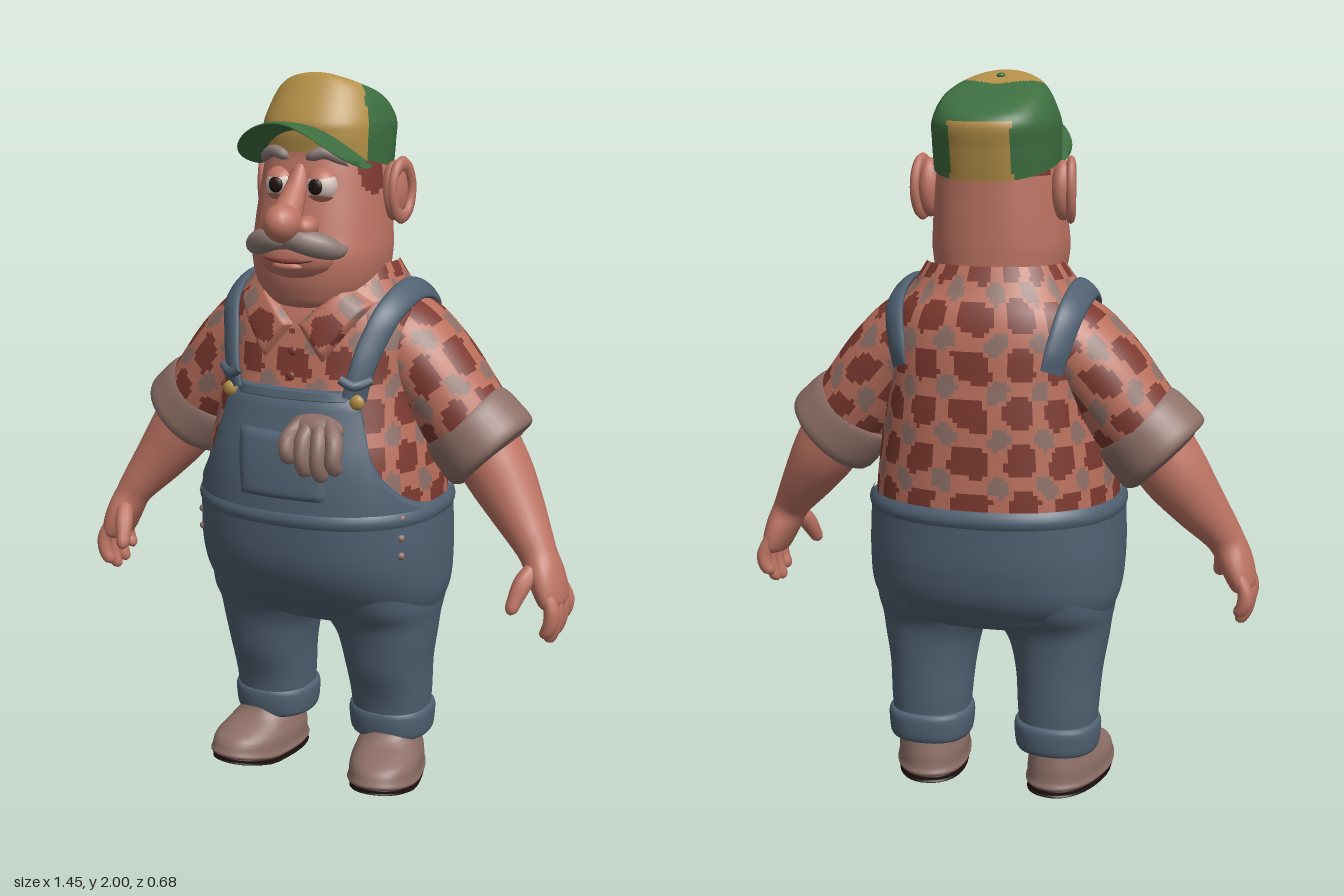
import * as THREE from 'three';

const { lerp } = THREE.MathUtils;
const P = 0.87; // roundness of the body cross-sections
const V = (x, y, z) => new THREE.Vector3(x, y, z);

// Smooth interpolation of table rows
function sample(rows, k, key = i => i) {
  const n = rows.length;
  let i = 0;
  while (i < n - 2 && k > key(i + 1)) i++;
  const h = key(i + 1) - key(i), t = Math.min(1, Math.max(0, (k - key(i)) / h));
  const slope = (j, c) => {
    const a = Math.max(0, j - 1), b = Math.min(n - 1, j + 1);
    return (rows[b][c] - rows[a][c]) / (key(b) - key(a));
  };
  const t2 = t * t, t3 = t2 * t;
  return rows[i].map((p, c) => (2 * t3 - 3 * t2 + 1) * p + (t3 - 2 * t2 + t) * h * slope(i, c)
    + (3 * t2 - 2 * t3) * rows[i + 1][c] + (t3 - t2) * h * slope(i + 1, c));
}

// Surface from a point rule; pick chooses a material slot for each quad
function grid(nu, nv, fn, pick = null, wrap = true) {
  const cols = wrap ? nu : nu + 1, pts = [], lists = [];
  for (let j = 0; j <= nv; j++) for (let i = 0; i < cols; i++) pts.push(fn(i / nu, j / nv));
  for (let j = 0; j < nv; j++) for (let i = 0; i < nu; i++) {
    const i2 = (i + 1) % cols;
    const a = j * cols + i, b = j * cols + i2, c = b + cols, d = a + cols;
    const mid = pts[a].clone().add(pts[c]).multiplyScalar(0.5);
    const slot = pick ? pick((i + 0.5) / nu, (j + 0.5) / nv, mid) : 0;
    (lists[slot] ??= []).push(a, b, c, a, c, d);
  }
  const geo = new THREE.BufferGeometry().setFromPoints(pts);
  geo.setIndex(lists.flat());
  let start = 0;
  if (pick) lists.forEach((l, slot) => { geo.addGroup(start, l.length, slot); start += l.length; });
  geo.computeVertexNormals();
  return geo;
}

// Point on a rounded horizontal section, u = 0 at the front
function ring(u, y, cx, hw, zf, zb) {
  const a = u * Math.PI * 2, s = Math.sin(a), c = Math.cos(a);
  return V(cx + hw * Math.sign(s) * Math.abs(s) ** P, y,
    (zf + zb) / 2 + (zf - zb) / 2 * Math.sign(c) * Math.abs(c) ** P);
}

// Upright loft, rows of [y, centre x, half width, front z, back z]
const stack = (rows, nu, nv, pick = null) =>
  grid(nu, nv, (u, v) => ring(u, ...sample(rows, v * (rows.length - 1))), pick);

// Loft along a path, rows of [x, y, z, radius along ref, radius across]
function limb(rows, nu = 12, nv = 14, pick = null, ref = () => V(0, 0, 1)) {
  const n = rows.length - 1, at = k => sample(rows, Math.min(n, Math.max(0, k)));
  return grid(nu, nv, (u, v) => {
    const k = v * n, r = at(k), c = V(r[0], r[1], r[2]);
    const T = V(...at(k + 0.02)).sub(V(...at(k - 0.02))).normalize();
    const A = ref(c).projectOnPlane(T).normalize(), B = T.clone().cross(A), a = u * Math.PI * 2;
    return c.addScaledVector(A, Math.cos(a) * r[3]).addScaledVector(B, Math.sin(a) * r[4]);
  }, pick);
}

const ball = (x, y, z, rx, ry = rx, rz = rx) =>
  new THREE.SphereGeometry(1, 18, 12).scale(rx, ry, rz).translate(x, y, z);

// Trunk shared by shirt, overalls and everything lying on them
const BODY = [[.48, 0, .29, .08, -.19], [.58, 0, .335, .19, -.28], [.68, 0, .345, .25, -.312], [.8, 0, .342, .27, -.32],
  [.9, 0, .335, .27, -.32], [1, 0, .322, .258, -.315], [1.1, 0, .305, .23, -.31], [1.2, 0, .297, .2, -.3],
  [1.3, 0, .3, .18, -.29], [1.38, 0, .278, .16, -.27], [1.44, 0, .225, .135, -.235], [1.5, 0, .185, .09, -.205]];
const bodyAt = y => sample(BODY, y, i => BODY[i][0]);
const bodyPoint = (u, y, off) => {
  const [, cx, hw, zf, zb] = bodyAt(y);
  return ring(u, y, cx, hw + off, zf + off, zb - off);
};
const zAt = (x, y) => {
  const [, , hw, zf, zb] = bodyAt(y), s = Math.min(1, Math.abs(x) / hw) ** (1 / P);
  return (zf + zb) / 2 + (zf - zb) / 2 * (1 - s * s) ** (P / 2);
};

// Padded four-cornered piece lying on the chest
const patch = (q, off, pick = null) => grid(20, 20, (u, v) => {
  const x = lerp(lerp(q[0][0], q[1][0], u), lerp(q[3][0], q[2][0], u), v);
  const y = lerp(lerp(q[0][1], q[1][1], u), lerp(q[3][1], q[2][1], u), v);
  const edge = Math.min(1, 9 * Math.min(u, 1 - u, v, 1 - v));
  return V(x, y, zAt(x, y) + lerp(-.004, off, edge));
}, pick, false);

// Checked cloth: 0 plain, 1 dark check, 2 grey check
function plaid(a, b) {
  const x = a + .06 * Math.sin(5 * b), y = b + .06 * Math.sin(4 * a);
  const size = (p, q) => Math.hypot(p - Math.round(p), q - Math.round(q));
  const box = Math.max(Math.abs(x - Math.round(x)), Math.abs(y - Math.round(y)));
  if (size(x, y) < .37 && box < .31) return 1;
  return size(x + .5, y + .5) < .23 ? 2 : 0;
}

export function createModel() {
  const model = new THREE.Group();
  model.name = 'farmer';
  const mat = (name, color, side = THREE.FrontSide) => {
    const m = new THREE.MeshStandardMaterial({ color, side });
    m.name = name;
    return m;
  };
  const skin = mat('skin', 0xbd7463), denim = mat('denim', 0x506172), check = mat('dark red', 0x7c392f);
  const cloth = mat('shirt pink', 0xb96f5c), taupe = mat('taupe', 0x8d6f67), grey = mat('whisker grey', 0x8c7a74);
  const green = mat('cap green', 0x3d6f40, THREE.DoubleSide), yellow = mat('cap yellow', 0xb48f47);
  const dark = mat('near black', 0x21120f), white = mat('eye white', 0xd2c0b6);
  const shirt = [cloth, check, taupe, skin];

  const add = (name, geo, m) => {
    const mesh = new THREE.Mesh(geo, m);
    mesh.name = name;
    model.add(mesh);
  };
  const pair = (name, geo, m) => {
    add(name + 'Left', geo, m);
    const g = geo.clone().scale(-1, 1, 1), ix = g.index.array;
    for (let i = 0; i < ix.length; i += 3) [ix[i], ix[i + 1]] = [ix[i + 1], ix[i]];
    add(name + 'Right', g, m);
  };

  // Shirt body with open neck, collar and sleeves
  add('shirt', grid(160, 56, (u, v) => bodyPoint(u, lerp(.8, 1.5, v), 0), (u, v, p) =>
    p.z > 0 && Math.abs(p.x) < (p.y - 1.33) * .8 ? 3 : plaid(u * 16, p.y / .125)), shirt);
  pair('collar', patch([[.004, 1.35], [.085, 1.25], [.2, 1.41], [.12, 1.46]], .022,
    (u, v, p) => plaid(p.x / .13 + .3, p.y / .125 + .3)), shirt);
  for (const y of [1.215, 1.28]) add('shirtButton', ball(0, y, zAt(0, y) + .003, .012, .012, .007), check);
  pair('sleeve', limb([[.1, 1.36, -.07, .12, .08], [.2, 1.3, -.07, .155, .125], [.29, 1.22, -.07, .152, .128],
    [.37, 1.12, -.07, .143, .125], [.43, 1.045, -.07, .132, .12]], 72, 44, (u, v) => plaid(u * 7 + .3, v * 3.6)), shirt);
  pair('sleeveCuff', limb([[.385, 1.095, -.07, .1, .1], [.398, 1.082, -.07, .134, .132], [.44, 1.035, -.07, .142, .142],
    [.478, .995, -.07, .138, .138], [.488, .985, -.07, .09, .09]], 36, 16), taupe);

  // Arms and hands
  pair('arm', limb([[.43, 1.05, -.07, .1, .1], [.5, .945, -.06, .096, .094], [.56, .86, -.04, .08, .077],
    [.615, .785, -.015, .063, .058], [.64, .745, -.005, .058, .05], [.662, .7, 0, .074, .047],
    [.682, .65, 0, .08, .04], [.69, .62, 0, .066, .03], [.692, .6, 0, 0, 0]], 24, 40), skin);
  [[-.064, .55], [-.022, .52], [.022, .512], [.06, .535]].forEach(([z, y], i) => pair('finger' + (i + 1),
    limb([[.68, .67, z * .9, .018, .018], [.702, .62, z, .022, .021], [.7, (y + .62) / 2, z * 1.05, .021, .02],
      [.686, y + .012, z, .017, .016], [.683, y, z, 0, 0]]), skin));
  pair('thumb', limb([[.645, .73, .03, .02, .02], [.625, .69, .07, .027, .026], [.612, .645, .098, .022, .021],
    [.607, .62, .112, .016, .016], [.606, .608, .114, 0, 0]]), skin);

  // Overalls: seat and bib in one piece, then legs, cuffs and fittings
  const TOP = [[0, 1.18], [.6, 1.18], [.66, 1.15], [.74, 1.03], [.9, .95], [1.2, .888], [1.6, .865], [3.2, .865]];
  add('overalls', grid(128, 46, (u, v) => {
    const a = Math.PI * 2 * Math.min(u, 1 - u), top = sample(TOP, a, i => TOP[i][0])[1];
    if (v >= .15) {
      const t = (v - .15) / .85;
      return bodyPoint(u, lerp(.54, top, t), lerp(-.006, .013, Math.min(1, (1 - t) * 22)));
    }
    const t = v / .15 * Math.PI / 2, p = bodyPoint(u, .54, .013), s = Math.sin(t);
    return V(p.x * s, .48 + .06 * (1 - Math.cos(t)), -.04 + (p.z + .04) * s);
  }), denim);
  add('waistband', grid(96, 6, (u, v) => bodyPoint(u, lerp(.812, .868, v), .008 + .011 * Math.sin(v * Math.PI))), denim);
  add('bibHem', patch([[-.185, 1.155], [.185, 1.155], [.18, 1.185], [-.18, 1.185]], .02), denim);
  add('bibPocket', patch([[-.13, .885], [.15, .885], [.172, 1.08], [-.16, 1.09]], .027), denim);
  pair('trouserLeg', stack([[.13, .187, .105, .03, -.175], [.25, .187, .113, .05, -.185], [.35, .186, .12, .085, -.19],
    [.44, .183, .137, .105, -.197], [.5, .17, .158, .125, -.212], [.56, .168, .168, .165, -.25],
    [.66, .165, .165, .2, -.28]], 40, 30), denim);
  pair('trouserCuff', stack([[.128, .187, .08, .01, -.15], [.132, .187, .112, .036, -.186], [.17, .187, .12, .046, -.195],
    [.208, .187, .119, .046, -.194], [.218, .187, .1, .03, -.175]], 40, 16), denim);
  pair('strap', limb([[.178, 1.165, .18, .014, .034], [.19, 1.22, .175, .014, .034], [.208, 1.3, .145, .014, .036],
    [.236, 1.39, .082, .014, .037], [.25, 1.432, -.05, .014, .038], [.243, 1.39, -.19, .014, .038],
    [.222, 1.3, -.245, .014, .037], [.208, 1.235, -.262, .005, .034]], 16, 42, null, c => V(c.x, c.y - 1.15, c.z + .06)), denim);
  pair('strapFold', limb([[.148, 1.222, .208, .012, .012], [.185, 1.205, .196, .014, .014], [.222, 1.218, .166, .012, .012]]), denim);
  pair('strapButton', ball(.19, 1.16, zAt(.19, 1.16) + .022, .021, .021, .014), yellow);
  for (const y of [.845, .79, .74]) pair('hipRivet', ball(.305, y, zAt(.305, y) + .02, .011), taupe);

  // Work glove hanging out of the pocket
  add('glovePalm', ball(.105, 1.095, .258, .08, .04, .042), taupe);
  [[.045, 1.01], [.09, .975], [.135, .965], [.178, .99]].forEach(([x, y], i) => add('gloveFinger' + (i + 1),
    limb([[.07 + i * .025, 1.115, .26, .02, .02], [x, 1.075, .3, .025, .023], [x + .004, (y + 1.06) / 2, .318, .022, .022],
      [x + .006, y + .012, .3, .019, .019], [x + .006, y, .295, 0, 0]]), taupe));

  // Boots, turned out a little, toes raised
  const boot = (rows) => {
    const g = stack(rows, 36, 20), p = g.attributes.position;
    for (let i = 0; i < p.count; i++)
      p.setY(i, p.getY(i) + .22 * Math.max(0, p.getZ(i) - .06) * (1 - p.getY(i) / .2));
    g.translate(0, 0, .05).rotateY(.2).translate(.195, 0, -.05).computeVertexNormals();
    return g;
  };
  pair('bootSole', boot([[0, 0, 0, 0, 0], [.002, 0, .09, .165, -.16], [.012, 0, .099, .18, -.17],
    [.024, 0, .099, .18, -.17], [.03, 0, .08, .16, -.15]]), dark);
  pair('boot', boot([[.02, 0, .098, .178, -.168], [.03, 0, .106, .187, -.174], [.045, 0, .102, .182, -.168],
    [.08, 0, .1, .165, -.165], [.11, 0, .09, .115, -.16], [.14, 0, .08, .055, -.155], [.19, 0, .07, .03, -.15]]), taupe);

  // Head with sideburns
  add('head', stack([[1.378, 0, 0, .03, .03], [1.39, 0, .115, .15, -.13], [1.44, 0, .163, .184, -.18],
    [1.52, 0, .183, .195, -.188], [1.6, 0, .18, .18, -.19], [1.7, 0, .17, .158, -.19], [1.78, 0, .158, .142, -.19],
    [1.85, 0, .145, .12, -.18], [1.87, 0, 0, 0, 0]], 96, 64, (u, v, p) => {
    const side = Math.abs(p.x) > .08;
    const front = p.z < .078 && p.z > -.02 && p.y > 1.685 + .5 * Math.abs(p.z - .03);
    const rear = p.z < -.085 && p.z > -.15 && p.y > 1.735;
    return side && (front || rear) ? 1 : 0;
  }), [skin, check]);
  pair('ear', ball(.185, 1.69, -.052, .034, .08, .048), skin);
  pair('earRim', new THREE.TorusGeometry(.042, .013, 8, 24).rotateY(Math.PI / 2).scale(1, 1.65, 1)
    .rotateY(-.25).translate(.206, 1.692, -.055), skin);
  add('muzzle', ball(0, 1.535, .155, .115, .068, .072), skin);
  add('lowerLip', ball(0, 1.512, .212, .045, .014, .022), skin);
  add('mouth', limb([[-.1, 1.535, .185, 0, 0], [-.05, 1.528, .215, .008, .005], [0, 1.526, .228, .008, .006],
    [.05, 1.528, .215, .008, .005], [.1, 1.535, .185, 0, 0]]), check);
  add('noseBridge', limb([[0, 1.76, .13, .02, .02], [0, 1.71, .165, .026, .03], [0, 1.65, .215, .04, .042]]), skin);
  add('nose', ball(0, 1.628, .238, .05, .052, .062), skin);
  pair('nostril', ball(.048, 1.615, .2, .031, .03, .04), skin);
  pair('moustache', limb([[-.004, 1.578, .222, .022, .02], [.04, 1.582, .225, .031, .031], [.09, 1.567, .198, .031, .033],
    [.125, 1.555, .165, .022, .022], [.143, 1.565, .142, 0, 0]], 18, 20), grey);

  // Eyes, lids and brows
  pair('eye', ball(.06, 1.715, .127, .043), white);
  pair('iris', ball(.058, 1.716, .167, .02, .021, .009), dark);
  const lid = tilt => new THREE.SphereGeometry(.048, 24, 10, 0, Math.PI * 2, 0, .92).rotateX(tilt).translate(.06, 1.715, .127);
  pair('upperLid', lid(.2), skin);
  pair('lowerLid', lid(Math.PI - .2), skin);
  pair('eyebrow', limb([[.024, 1.782, .152, 0, 0], [.04, 1.793, .154, .014, .014], [.075, 1.802, .147, .014, .016],
    [.11, 1.784, .124, .012, .013], [.125, 1.765, .108, 0, 0]]), grey);

  // Cap crown, rows of [half width, front z, back z, front y, back y]
  const CROWN = [[.167, .142, -.21, 1.8, 1.72], [.169, .147, -.225, 1.85, 1.8], [.165, .138, -.234, 1.89, 1.87],
    [.132, .078, -.185, 1.98, 1.912], [.065, .045, -.09, 2, 1.952], [0, -.005, -.005, 1.985, 1.985]];
  add('capCrown', grid(112, 48, (u, v) => {
    const [hw, zf, zb, yf, yb] = sample(CROWN, v * 5);
    const p = ring(u, 0, 0, hw, zf, zb);
    p.y = lerp(yb, yf, (Math.cos(u * Math.PI * 2) + 1) / 2);
    return p;
  }, (u, v, p) => {
    const frontPanel = p.z > -.055 + 4.5 * p.x * p.x;
    const backPanel = p.z < -.1 && Math.abs(p.x) < .085 && p.y < 1.875;
    return frontPanel || backPanel ? 1 : 0;
  }), [green, yellow]);
  add('capButton', ball(0, 1.985, -.005, .012, .008, .012), green);

  // Curved cap brim
  add('capBrim', grid(24, 36, (u, v) => {
    const w = Math.sin((v * 2 - 1) * Math.PI / 2), x = .158 * w, a = u * Math.PI * 2;
    const zf = .115 + .172 * Math.sqrt(1 - w ** 4), zb = .1 - 2.6 * x * x;
    const z = (zf + zb) / 2 + (zf - zb) / 2 * Math.cos(a);
    return V(x, 1.884 - 3.5 * x * x + (z - .28) * .14 - .009 * Math.sin(a), z);
  }), green);

  return model;
}
